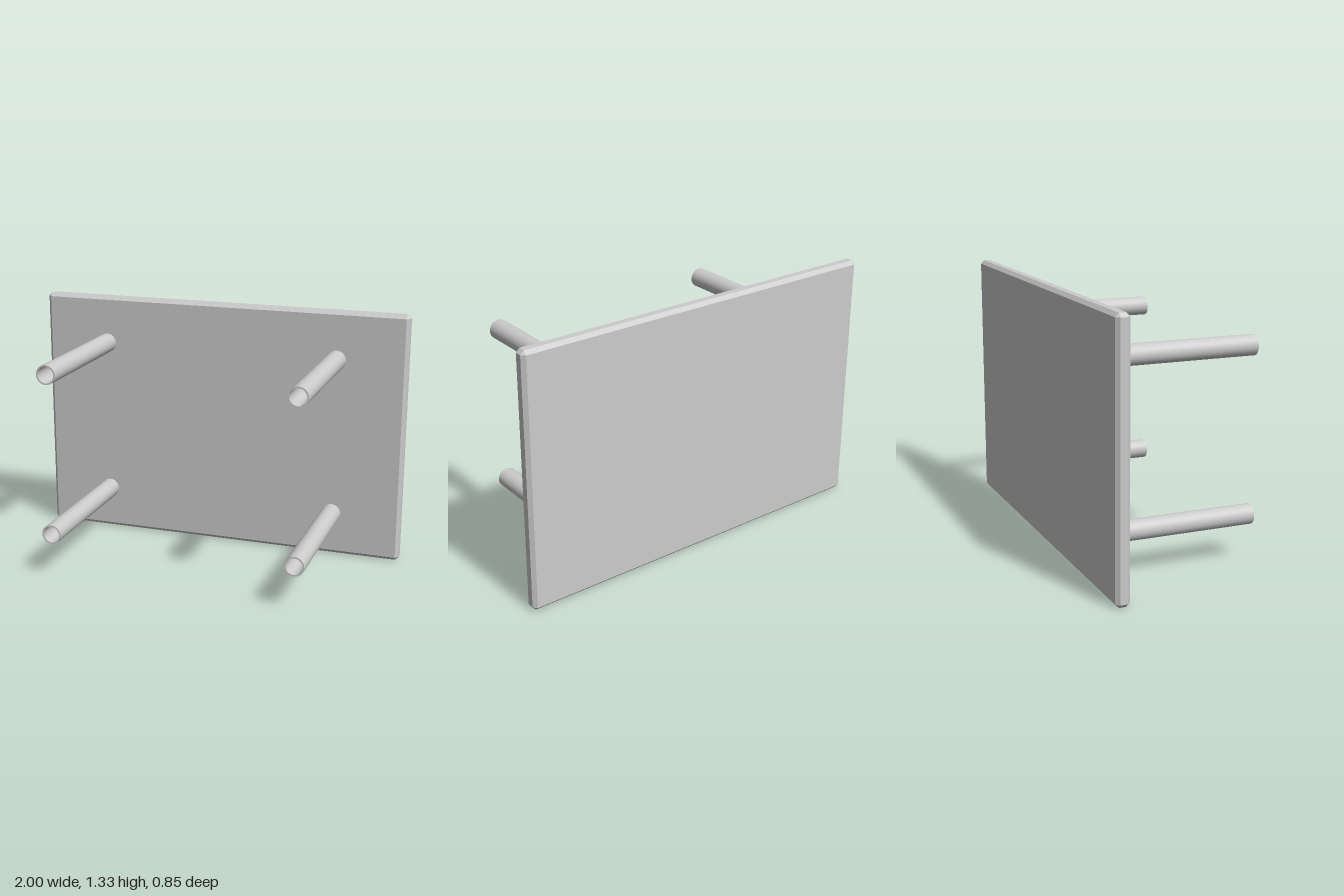
import * as THREE from 'three';
import { toCreasedNormals } from 'three/addons/utils/BufferGeometryUtils.js';
import { ConvexGeometry } from 'three/addons/geometries/ConvexGeometry.js';

const material = new THREE.MeshStandardMaterial({ color: 0xcccccc });

// Box with every edge and corner cut by a flat chamfer
function chamferedBox(width, height, depth, c) {
  const half = [width / 2, height / 2, depth / 2];
  const points = [];
  for (const sx of [-1, 1]) for (const sy of [-1, 1]) for (const sz of [-1, 1]) {
    const signs = [sx, sy, sz];
    for (let face = 0; face < 3; face++) {
      const p = signs.map((s, i) => s * (half[i] - (i === face ? 0 : c)));
      points.push(new THREE.Vector3(...p));
    }
  }
  return new ConvexGeometry(points);
}

// Hollow round tube along +z
function tube(outer, inner, length) {
  const ring = new THREE.Shape().absarc(0, 0, outer, 0, Math.PI * 2);
  ring.holes.push(new THREE.Path().absarc(0, 0, inner, 0, Math.PI * 2, true));
  const geometry = new THREE.ExtrudeGeometry(ring, { depth: length, bevelEnabled: false, curveSegments: 12 });
  return toCreasedNormals(geometry, 0.5);
}

export function createModel() {
  const model = new THREE.Group();
  model.name = 'table';

  // Upright top panel at the back
  const height = 1.325, back = -0.424, front = -0.353;
  const panel = new THREE.Mesh(chamferedBox(2, height, front - back, 0.018), material);
  panel.name = 'tableTop';
  panel.position.set(0, height / 2, (back + front) / 2);
  model.add(panel);

  // Four hollow legs pointing forward, set slightly off centre
  const legGeometry = tube(0.051, 0.043, 0.424 - front);
  for (const [side, x] of [['Right', -0.65], ['Left', 0.63]]) {
    for (const [level, y] of [['lower', 0.23], ['upper', 1.07]]) {
      const leg = new THREE.Mesh(legGeometry, material);
      leg.name = `${level}${side}Leg`;
      leg.position.set(x, y, front);
      model.add(leg);
    }
  }
  return model;
}
